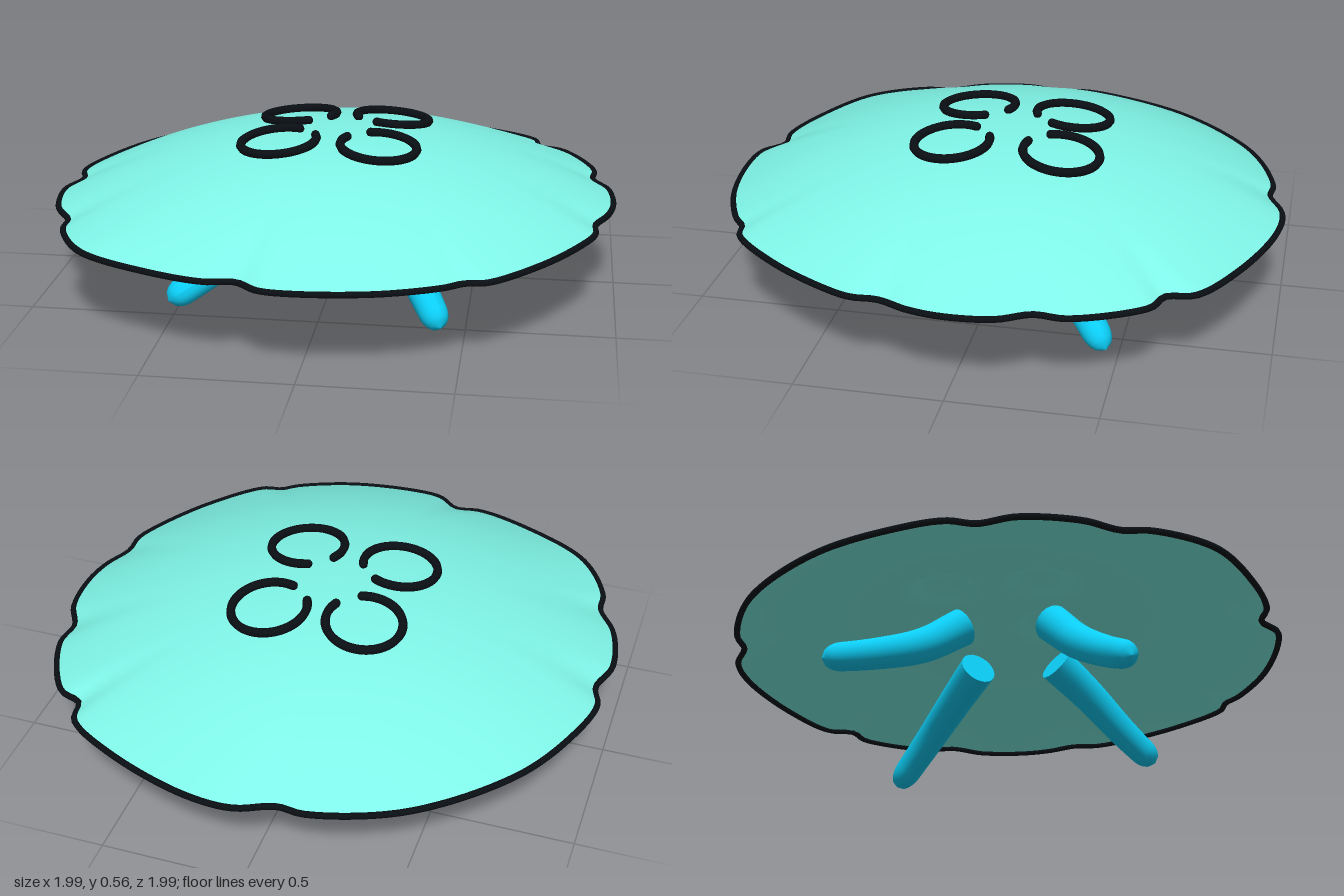
import * as THREE from 'three';

const V = (x, y, z) => new THREE.Vector3(x, y, z);
const bellMat = new THREE.MeshStandardMaterial({ color: 0x80f5e8 });
const inkMat = new THREE.MeshStandardMaterial({ color: 0x0a0f14 });
const armMat = new THREE.MeshStandardMaterial({ color: 0x0ccdf5 });

const RIM_Y = 0.31;
const domeY = (r) => RIM_Y + 0.235 * (1 - Math.pow(Math.min(r / 0.985, 1), 2.1));

// Notched outline of the bell, x and z pairs running counterclockwise from above
const outline = [
  0.985, 0, 0.97, -0.16, 0.915, -0.27, 0.92, -0.38, 0.8, -0.62, 0.715, -0.66, 0.69, -0.75,
  0.5, -0.87, 0.2, -0.975, 0.03, -0.985, -0.1, -0.935, -0.2, -0.94, -0.5, -0.83, -0.8, -0.55,
  -0.94, -0.27, -0.975, -0.12, -0.95, -0.03, -0.985, 0.1, -0.95, 0.3, -0.88, 0.42, -0.87, 0.52,
  -0.75, 0.72, -0.5, 0.86, -0.3, 0.92, -0.2, 0.91, -0.12, 0.97, 0, 0.983, 0.25, 0.95,
  0.45, 0.87, 0.51, 0.825, 0.58, 0.81, 0.75, 0.63, 0.88, 0.42, 0.92, 0.32, 0.92, 0.23, 0.965, 0.12,
];
const rimPoints = [];
for (let i = 0; i < outline.length; i += 2) rimPoints.push(V(outline[i], RIM_Y, outline[i + 1]));
const rimCurve = new THREE.CatmullRomCurve3(rimPoints, true, 'centripetal');

// Centres of the four rings on top, matched by pockets underneath
const ringCentres = [[-0.165, -0.21], [0.175, -0.225], [-0.19, 0.145], [0.165, 0.165]];

// Dome skin: rings that blend from a circle to the notched rim
function bellSkin(heightAt, faceDown) {
  const rows = 40, cols = 216, pos = [], idx = [];
  const rim = rimCurve.getSpacedPoints(cols);
  for (let i = 0; i <= rows; i++) {
    const t = i / rows;
    for (let j = 0; j < cols; j++) {
      const p = rim[j], full = Math.hypot(p.x, p.z);
      const r = t * THREE.MathUtils.lerp(0.975, full, Math.pow(t, 5));
      const x = (p.x / full) * r, z = (p.z / full) * r;
      pos.push(x, heightAt(t, x, z), z);
      if (i === rows) continue;
      const a = i * cols + j, b = i * cols + ((j + 1) % cols), c = a + cols, d = b + cols;
      const tris = i === 0 ? [[a, c, d]] : [[a, c, d], [a, d, b]];
      for (const [u, v, w] of tris) idx.push(u, ...(faceDown ? [w, v] : [v, w]));
    }
  }
  const g = new THREE.BufferGeometry();
  g.setAttribute('position', new THREE.Float32BufferAttribute(pos, 3));
  g.setIndex(idx);
  g.computeVertexNormals();
  // The centre row is one point, so its normals are set straight
  for (let j = 0; j < cols; j++) g.attributes.normal.setXYZ(j, 0, faceDown ? -1 : 1, 0);
  return g;
}

function add(parent, name, geometry, material) {
  const mesh = new THREE.Mesh(geometry, material);
  mesh.name = name;
  parent.add(mesh);
  return mesh;
}

// Curved tapering arm with a rounded tip and a flat inner end
function makeTentacle(points) {
  const group = new THREE.Group();
  group.name = 'tentacle';
  const curve = new THREE.CatmullRomCurve3(points.map((p) => V(...p)));
  const rows = 40, sides = 20, r0 = 0.068;
  const g = new THREE.TubeGeometry(curve, rows, r0, sides);
  const p = g.attributes.position, v = V(0, 0, 0);
  for (let i = 0; i <= rows; i++) {
    const t = i / rows, c = curve.getPointAt(t);
    const round = t > 0.88 ? Math.sqrt(Math.max(0, 1 - ((t - 0.88) / 0.12) ** 2)) : 1;
    const k = (1 - 0.3 * t) * round;
    for (let j = 0; j <= sides; j++) {
      const n = i * (sides + 1) + j;
      v.fromBufferAttribute(p, n).sub(c).multiplyScalar(k).add(c);
      p.setXYZ(n, v.x, v.y, v.z);
    }
  }
  g.computeVertexNormals();
  add(group, 'tentacleArm', g, armMat);
  const cap = add(group, 'tentacleEnd', new THREE.CircleGeometry(r0, sides), armMat);
  cap.position.copy(curve.getPointAt(0));
  cap.quaternion.setFromUnitVectors(V(0, 0, 1), curve.getTangentAt(0).negate());
  return group;
}

export function createModel() {
  const model = new THREE.Group();
  model.name = 'jellyfish';

  // Bell: smooth top, and an underside with four shallow pockets
  const topY = (t) => RIM_Y + 0.235 * (1 - Math.pow(t, 2.1));
  add(model, 'bellTop', bellSkin(topY), bellMat);
  const underY = (t, x, z) => {
    let y = topY(t) - 0.05 * (1 - t * t);
    for (const [cx, cz] of ringCentres) {
      const d = Math.hypot(x - cx, z - cz) / 0.11;
      y += 0.035 * Math.exp(-(d ** 4));
    }
    return y;
  };
  add(model, 'bellUnderside', bellSkin(underY, true), bellMat);

  // Dark edge line
  add(model, 'rimLine', new THREE.TubeGeometry(rimCurve, 240, 0.011, 8, true), inkMat);

  // Open rings lying on the dome, each gap facing the middle
  for (const [cx, cz] of ringCentres) {
    const inward = Math.atan2(-0.03 - cz, -cx), pts = [];
    for (let i = 0; i <= 24; i++) {
      const a = inward + 0.38 + (i / 24) * (Math.PI * 2 - 0.76);
      const x = cx + 0.133 * Math.cos(a), z = cz + 0.133 * Math.sin(a);
      pts.push(V(x, domeY(Math.hypot(x, z)) + 0.012, z));
    }
    const ring = new THREE.Group();
    ring.name = 'topRing';
    add(ring, 'ringLine', new THREE.TubeGeometry(new THREE.CatmullRomCurve3(pts), 72, 0.016, 8), inkMat);
    for (const end of [pts[0], pts[24]]) {
      add(ring, 'ringEnd', new THREE.SphereGeometry(0.016, 10, 8), inkMat).position.copy(end);
    }
    model.add(ring);
  }

  // Four tentacles spreading out and down
  const arms = [
    [[0.15, 0.33, 0.18], [0.25, 0.24, 0.3], [0.34, 0.13, 0.42], [0.42, 0.03, 0.54]],
    [[0.17, 0.33, -0.11], [0.32, 0.26, -0.21], [0.47, 0.17, -0.32], [0.61, 0.03, -0.46]],
    [[-0.19, 0.33, 0.18], [-0.29, 0.21, 0.27], [-0.4, 0.12, 0.36], [-0.53, 0.04, 0.45]],
    [[-0.18, 0.33, -0.14], [-0.25, 0.23, -0.27], [-0.32, 0.17, -0.42], [-0.38, 0.13, -0.6]],
  ];
  for (const points of arms) model.add(makeTentacle(points));

  return model;
}
